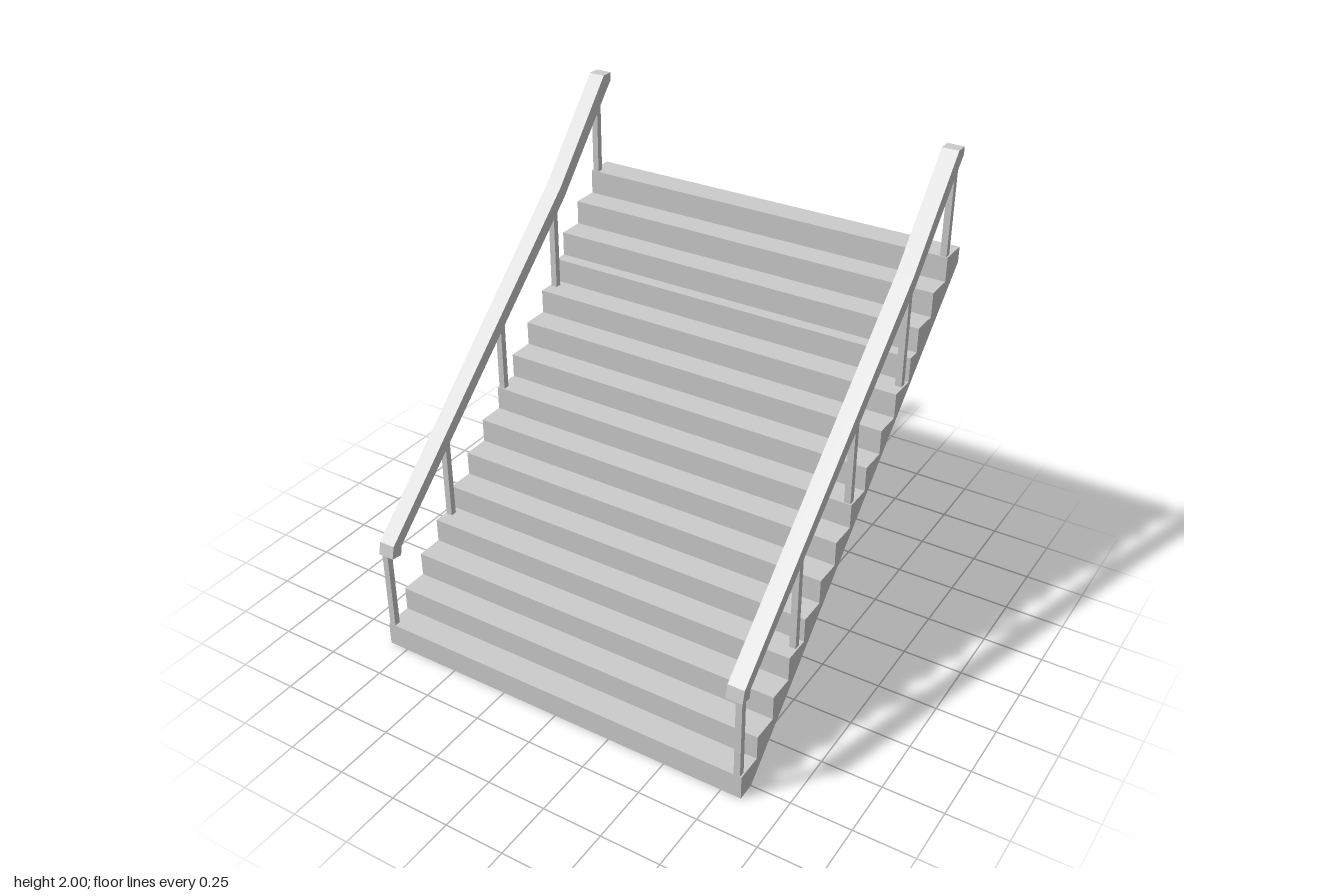
import * as THREE from 'three';

const material = new THREE.MeshStandardMaterial({ color: 0xcccccc, flatShading: true });

// Extrude a side profile of [z, y] points across x, centred on x = 0
function extrudeAcross(points, width) {
  const shape = new THREE.Shape(points.map(([z, y]) => new THREE.Vector2(z, y)));
  const geometry = new THREE.ExtrudeGeometry(shape, { depth: width, bevelEnabled: false });
  geometry.translate(0, 0, -width / 2);
  geometry.rotateY(-Math.PI / 2);
  return geometry;
}

function addMesh(parent, name, geometry, x = 0, y = 0, z = 0) {
  const mesh = new THREE.Mesh(geometry, material);
  mesh.name = name;
  mesh.position.set(x, y, z);
  parent.add(mesh);
}

export function createModel() {
  const model = new THREE.Group();
  model.name = 'staircase';

  // Solid flight: fifteen steps, one of them with a short tread
  const rise = 1.562 / 15;
  const tread = 0.1147;
  const shortTread = 11;
  const profile = [[0.75, 0]];
  let z = 0.827;
  for (let i = 0; i < 15; i++) {
    profile.push([z, i * rise], [z, (i + 1) * rise]);
    z -= i === shortTread - 1 ? tread : i === shortTread ? 0.055 : tread;
  }
  profile.push([-0.838, 15 * rise], [-0.838, 1.495]);
  addMesh(model, 'steps', extrudeAcross(profile, 1.67));

  // Handrail side profile with a turned-down foot and a level top end
  const railProfile = [
    [0.837, 0.462], [0.824, 0.515], [-0.39, 1.617], [-0.725, 2], [-0.777, 2],
    [-0.777, 1.967], [-0.755, 1.945], [-0.412, 1.562], [0.78, 0.492], [0.786, 0.453],
  ];
  const railGeometry = extrudeAcross(railProfile, 0.07);

  // Posts: z, foot height, top height (tops end inside the rail)
  const posts = [
    [0.813, 0.10, 0.48],
    [0.41, 0.41, 0.86],
    [0.006, 0.83, 1.22],
    [-0.395, 1.14, 1.58],
    [-0.736, 1.56, 1.96],
  ];

  for (const side of [1, -1]) {
    const railing = new THREE.Group();
    railing.name = side > 0 ? 'leftRailing' : 'rightRailing';
    addMesh(railing, 'handrail', railGeometry, side * 0.8);
    for (const [pz, foot, top] of posts) {
      const post = new THREE.BoxGeometry(0.027, top - foot, 0.027);
      addMesh(railing, 'post', post, side * 0.815, (foot + top) / 2, pz);
    }
    model.add(railing);
  }
  return model;
}
